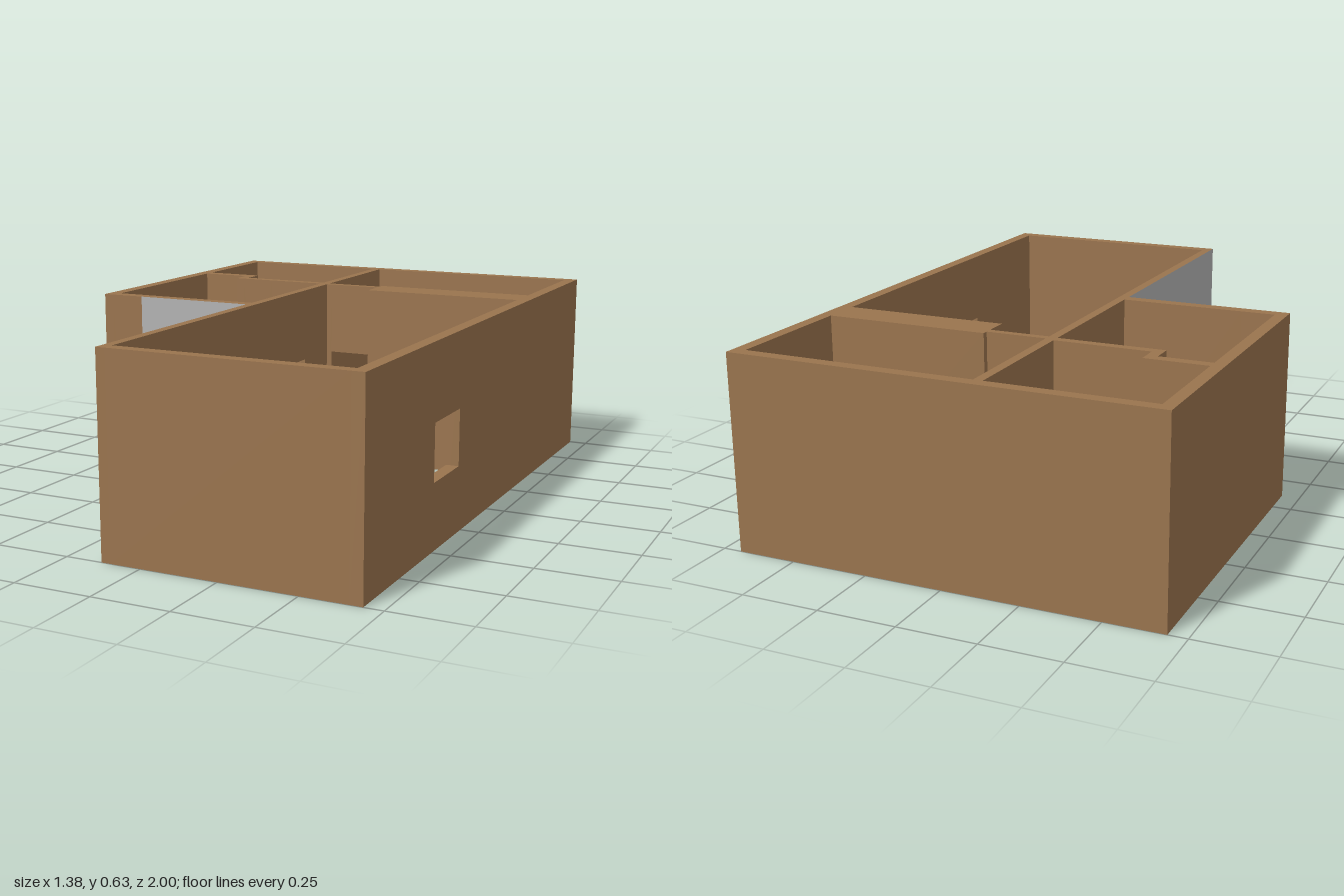
import * as THREE from 'three';

const H = 0.63;      // wall height
const DOOR = 0.38;   // door head height

export function createModel() {
  const model = new THREE.Group();
  model.name = 'floorPlan';
  const brown = new THREE.MeshStandardMaterial({ color: 0x9a744e });
  brown.name = 'brownWall';
  const grey = new THREE.MeshStandardMaterial({ color: 0xb3b3b3 });
  grey.name = 'greyRender';

  // Box from its limits; greyFaces lists the painted sides (0 +x, 1 -x, 2 +y, 3 -y, 4 +z, 5 -z)
  function block(parent, x0, x1, y0, y1, z0, z1, greyFaces) {
    const geo = new THREE.BoxGeometry(x1 - x0, y1 - y0, z1 - z0);
    const mats = greyFaces.length
      ? [0, 1, 2, 3, 4, 5].map(i => (greyFaces.includes(i) ? grey : brown))
      : brown;
    const mesh = new THREE.Mesh(geo, mats);
    mesh.name = parent.name + 'Section';
    mesh.position.set((x0 + x1) / 2, (y0 + y1) / 2, (z0 + z1) / 2);
    parent.add(mesh);
  }

  // Straight wall along x or z, with openings given as [from, to, sill, head]
  function wall(name, axis, from, to, side0, side1, openings = [], greyFaces = []) {
    const group = new THREE.Group();
    group.name = name;
    const piece = (a, b, y0, y1) => {
      const faces = greyFaces.filter(f => f !== 3 || y0 === 0);
      if (axis === 'x') block(group, a, b, y0, y1, side0, side1, faces);
      else block(group, side0, side1, y0, y1, a, b, faces);
    };
    let start = from;
    for (const [a, b, sill, head] of openings) {
      if (a > start) piece(start, a, 0, H);
      if (sill > 0) piece(a, b, 0, sill);
      piece(a, b, head, H);
      start = b;
    }
    if (to > start) piece(start, to, 0, H);
    model.add(group);
  }

  // Outer walls
  wall('backWall', 'x', -0.69, 0.69, -1, -0.96);
  wall('leftOuterWall', 'z', -0.96, 1, 0.65, 0.69, [[0.28, 0.49, 0.21, 0.39]]);
  wall('frontWall', 'x', -0.10, 0.65, 0.96, 1);
  wall('rightOuterWall', 'z', -0.96, 0.11, -0.69, -0.65);
  wall('porchWallEnd', 'x', -0.65, -0.54, 0.07, 0.11);
  wall('porchWall', 'x', -0.54, -0.13, 0.07, 0.11, [], [3, 4]);

  // Long dividing wall, painted where it faces the porch
  wall('dividingWall', 'z', -0.96, 0.11, -0.13, -0.10, [[-0.28, -0.12, 0, DOOR]]);
  wall('entranceWall', 'z', 0.11, 1, -0.13, -0.10, [[0.53, 0.70, 0, DOOR]], [1, 3]);

  // Stepped partition between the two right-hand rooms
  wall('steppedPartitionEnd', 'x', -0.65, -0.48, -0.575, -0.54);
  wall('steppedPartitionReturn', 'z', -0.575, -0.47, -0.48, -0.445);
  wall('steppedPartition', 'x', -0.445, -0.13, -0.50, -0.47, [[-0.33, -0.17, 0, DOOR]]);

  // Thin partition with a doorway, meeting a thick wall
  wall('thinPartition', 'x', -0.10, 0.10, -0.49, -0.465, [[-0.08, 0.09, 0, DOOR]]);
  wall('thickPartition', 'x', 0.10, 0.65, -0.51, -0.385);

  return model;
}
